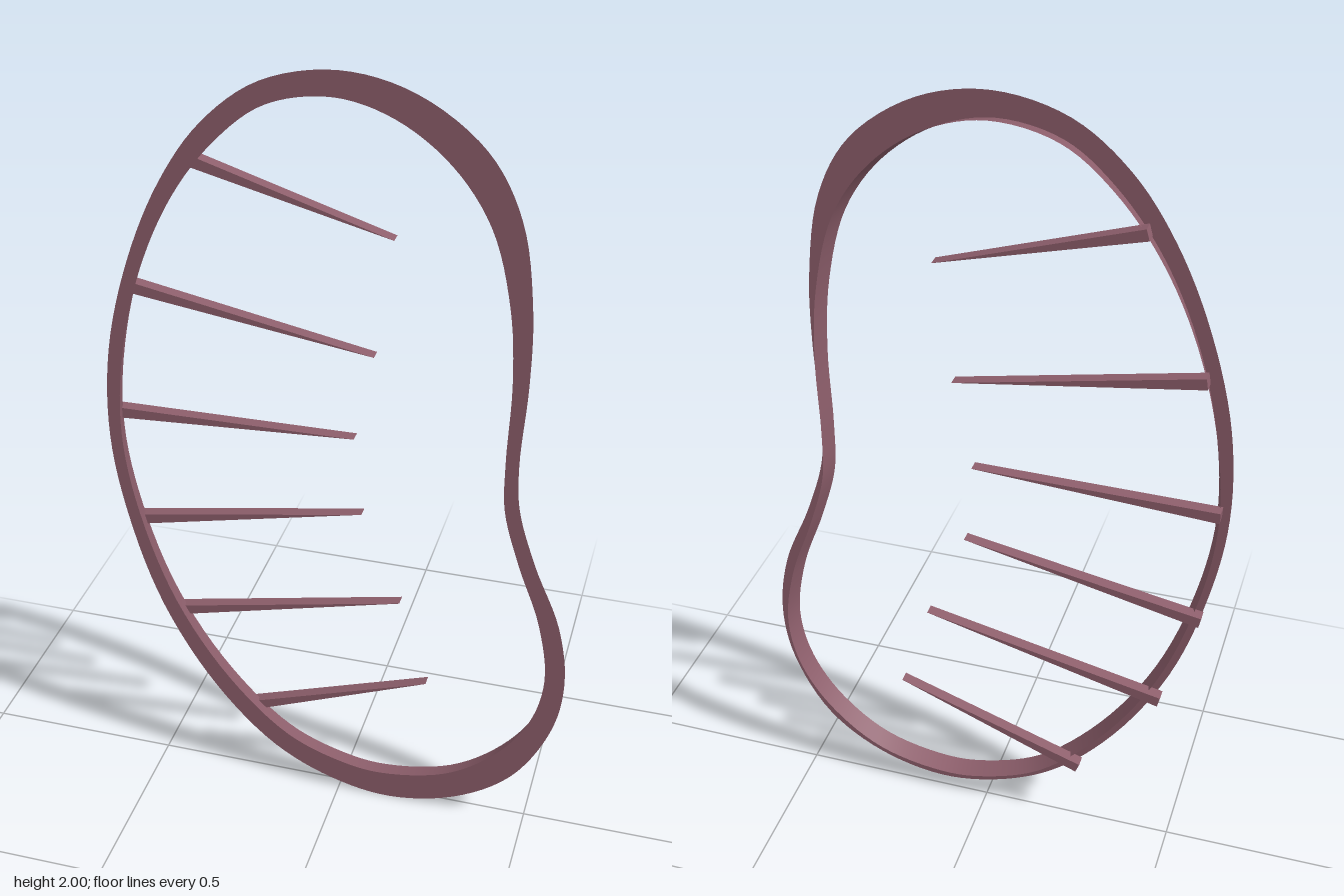
import * as THREE from 'three';

const material = new THREE.MeshStandardMaterial({ color: 0x8e5f6c, side: THREE.DoubleSide });
const FRONT = 0.03, BACK = -0.02, STEPS = 156;

// Matching outlines of the rim, clockwise from the top
const outerPoints = [
  [0, 2], [0.17, 1.965], [0.325, 1.855], [0.405, 1.71], [0.44, 1.5], [0.443, 1.315], [0.432, 1.1],
  [0.44, 0.98], [0.485, 0.83], [0.555, 0.655], [0.58, 0.485], [0.555, 0.325], [0.46, 0.15],
  [0.315, 0.045], [0.14, 0.003], [-0.02, 0.03], [-0.175, 0.11], [-0.335, 0.28], [-0.47, 0.52],
  [-0.55, 0.785], [-0.583, 1.02], [-0.568, 1.26], [-0.505, 1.5], [-0.415, 1.705], [-0.31, 1.855], [-0.175, 1.96],
];
const innerPoints = [
  [-0.01, 1.94], [0.125, 1.905], [0.25, 1.815], [0.34, 1.685], [0.39, 1.5], [0.405, 1.315], [0.4, 1.1],
  [0.405, 0.97], [0.445, 0.825], [0.505, 0.655], [0.53, 0.485], [0.5, 0.345], [0.42, 0.22],
  [0.29, 0.12], [0.115, 0.08], [0, 0.095], [-0.14, 0.155], [-0.3, 0.315], [-0.435, 0.54],
  [-0.52, 0.8], [-0.552, 1.025], [-0.535, 1.245], [-0.475, 1.48], [-0.385, 1.675], [-0.275, 1.82], [-0.16, 1.91],
];

function smoothLoop(points, z) {
  const curve = new THREE.CatmullRomCurve3(points.map(([x, y]) => new THREE.Vector3(x, y, z)), true);
  return Array.from({ length: STEPS }, (_, i) => curve.getPoint(i / STEPS));
}

// Closed band of quads between two loops
function band(name, a, b) {
  const index = [];
  for (let i = 0; i < STEPS; i++) {
    const j = (i + 1) % STEPS;
    index.push(i, j, STEPS + i, j, STEPS + j, STEPS + i);
  }
  const geometry = new THREE.BufferGeometry().setFromPoints([...a, ...b]);
  geometry.setIndex(index);
  geometry.computeVertexNormals();
  const mesh = new THREE.Mesh(geometry, material);
  mesh.name = name;
  return mesh;
}

// Wedge-shaped spine, broad at the rim and pointed at its tip
function spine([x0, y0, x1, y1]) {
  const dir = new THREE.Vector2(x1 - x0, y1 - y0).normalize();
  const bx = x0 - dir.x * 0.014, by = y0 - dir.y * 0.014, half = 0.014;
  const shape = new THREE.Shape([
    new THREE.Vector2(bx + dir.y * half, by - dir.x * half),
    new THREE.Vector2(x1, y1),
    new THREE.Vector2(bx - dir.y * half, by + dir.x * half),
  ]);
  const geometry = new THREE.ExtrudeGeometry(shape, { depth: 0.03, bevelEnabled: false });
  geometry.translate(0, 0, -0.035);
  return new THREE.Mesh(geometry, material);
}

export function createModel() {
  const model = new THREE.Group();
  model.name = 'spinedRim';

  // Flat front face and the shallow wall flaring back from its inner edge
  const outer = smoothLoop(outerPoints, FRONT);
  const inner = smoothLoop(innerPoints, FRONT);
  const wallBack = inner.map((p, i) => {
    const out = outer[i].clone().sub(p).normalize();
    return p.clone().addScaledVector(out, 0.013).setZ(BACK);
  });
  model.add(band('rimFace', inner, outer), band('rimWall', wallBack, inner));

  // Spines, each from its root on the rim to its tip
  const spines = new THREE.Group();
  spines.name = 'spines';
  [
    [-0.35, 1.745, 0.118, 1.612],
    [-0.5, 1.41, 0.075, 1.313],
    [-0.555, 1.065, 0.028, 1.085],
    [-0.53, 0.755, 0.048, 0.873],
    [-0.445, 0.482, 0.148, 0.623],
    [-0.245, 0.203, 0.222, 0.38],
  ].forEach((ends, i) => {
    const mesh = spine(ends);
    mesh.name = `spine${i + 1}`;
    spines.add(mesh);
  });
  model.add(spines);
  return model;
}
